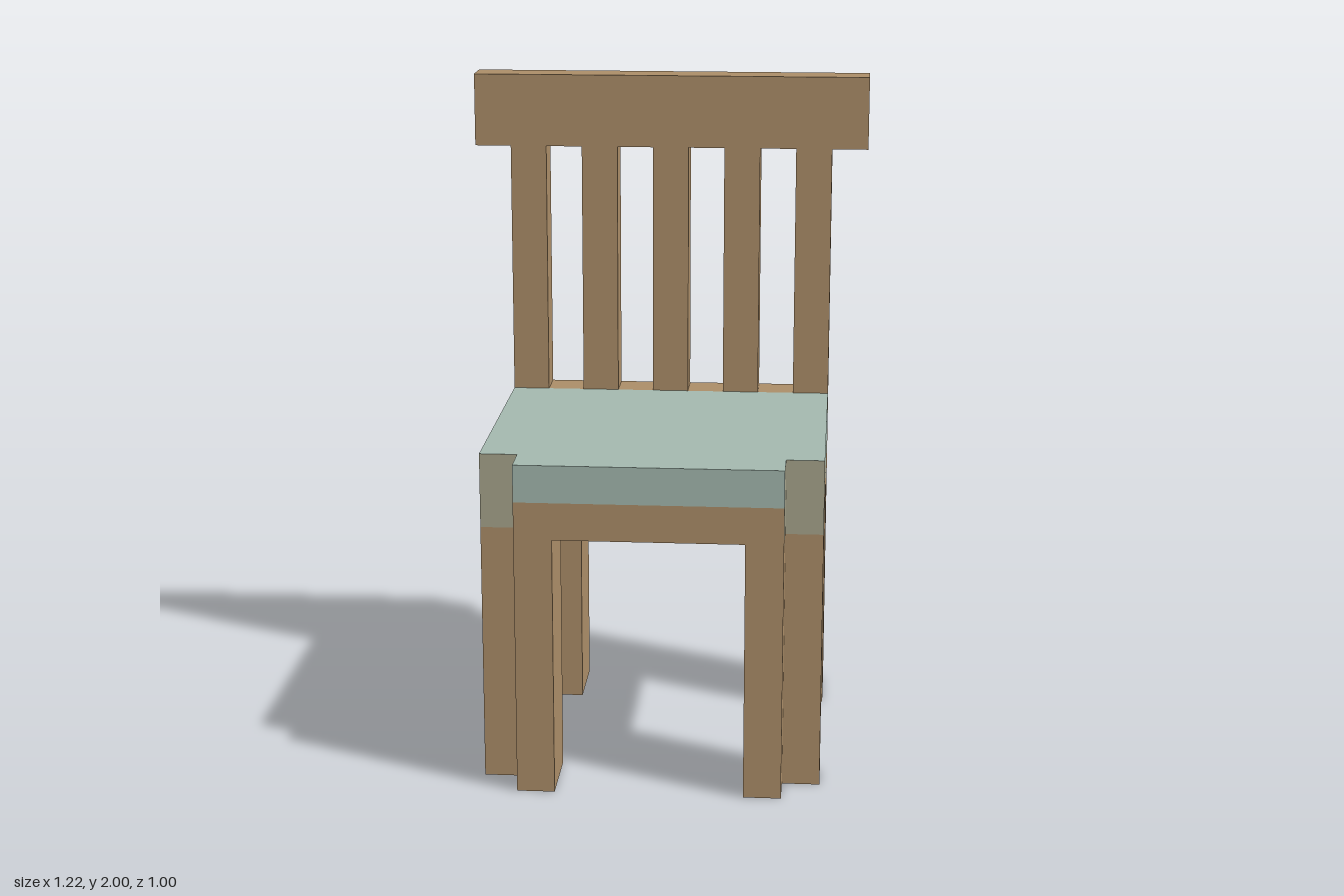
import * as THREE from 'three';

// All dimensions sit on a grid of 1/18 unit.
const U = 1 / 18;

function makeMaterial(name, color) {
  const m = new THREE.MeshStandardMaterial({ color });
  m.name = name;
  return m;
}

export function createModel() {
  const wood = makeMaterial('wood', 0xab8d68);
  const cushion = makeMaterial('cushionGreen', 0xa3b8ae);
  const blend = makeMaterial('cornerKhaki', 0xa7a48c);
  const chair = new THREE.Group();
  chair.name = 'chair';

  // Box from grid bounds; material may be an array in the order +x -x +y -y +z -z.
  function box(parent, name, [x0, x1], [y0, y1], [z0, z1], material) {
    const geo = new THREE.BoxGeometry((x1 - x0) * U, (y1 - y0) * U, (z1 - z0) * U);
    const mesh = new THREE.Mesh(geo, material);
    mesh.name = name;
    mesh.position.set((x0 + x1) * U / 2, (y0 + y1) * U / 2, (z0 + z1) * U / 2);
    parent.add(mesh);
  }

  // Same box on either side; the outward face material follows the mirror.
  function pair(parent, name, [x0, x1], y, z, mats) {
    box(parent, name + 'Left', [x0, x1], y, z, mats);
    const flipped = Array.isArray(mats) ? [mats[1], mats[0], ...mats.slice(2)] : mats;
    box(parent, name + 'Right', [-x1, -x0], y, z, flipped);
  }

  // Legs: square at the back, notched at the outer corner in front
  pair(chair, 'backLeg', [5, 9], [0, 14], [-9, -5], wood);
  for (const side of [1, -1]) {
    const pts = [[5, 5], [9, 5], [9, 7], [7, 7], [7, 9], [5, 9]];
    const outline = new THREE.Shape(pts.map(([x, z]) => new THREE.Vector2(side * x * U, -z * U)));
    const geo = new THREE.ExtrudeGeometry(outline, { depth: 14 * U, bevelEnabled: false });
    geo.rotateX(-Math.PI / 2);
    const leg = new THREE.Mesh(geo, wood);
    leg.name = side > 0 ? 'frontLegLeft' : 'frontLegRight';
    chair.add(leg);
  }

  // Seat: wooden frame below, cushion above
  const seat = new THREE.Group();
  seat.name = 'seat';
  chair.add(seat);
  for (const [name, y, m] of [['seatFrame', [14, 16], wood], ['cushion', [16, 18], cushion]]) {
    box(seat, name + 'Middle', [-5, 5], y, [-7, 9], m);
    pair(seat, name + 'Side', [5, 9], y, [-7, 5], m);
    pair(seat, name + 'FrontCorner', [5, 7], y, [7, 9], [blend, m, m, m, m, m]);
  }
  // Seat corners above the front legs, khaki on the exposed sides
  pair(seat, 'seatCorner', [5, 9], [14, 18], [5, 7], [blend, wood, cushion, wood, blend, wood]);

  // Backrest: lower beam, posts, slats and top rail
  const back = new THREE.Group();
  back.name = 'backrest';
  chair.add(back);
  box(back, 'lowerBeam', [-9, 9], [14, 18], [-9, -7], wood);
  for (const x of [-8, -4, 0, 4, 8]) {
    box(back, Math.abs(x) === 8 ? 'backPost' : 'backSlat', [x - 1, x + 1], [18, 32], [-9, -7], wood);
  }
  box(back, 'topRail', [-11, 11], [32, 36], [-9, -7], wood);

  return chair;
}
